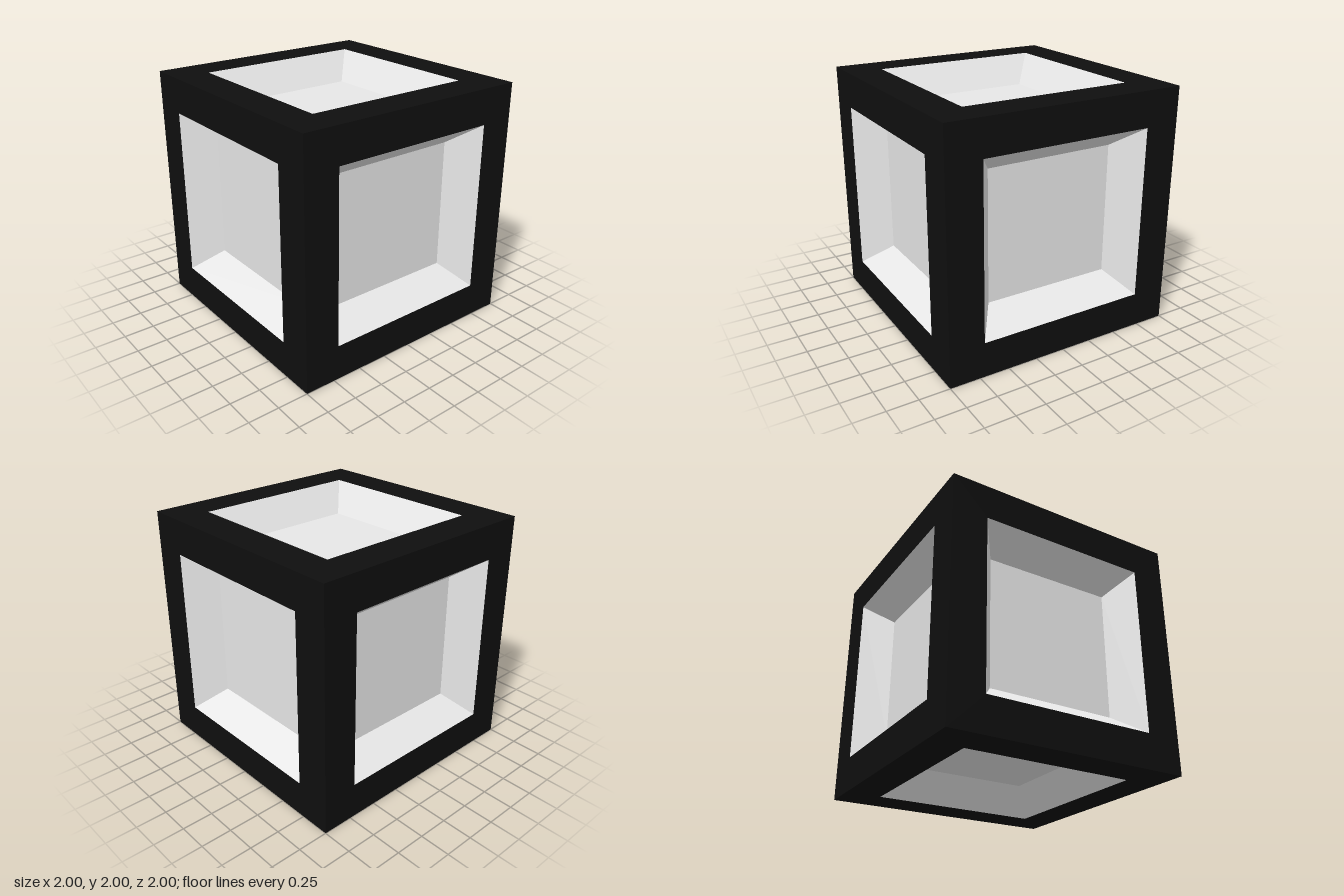
import * as THREE from 'three';

const HALF = 1, OPENING = 0.71, FLOOR = 0.54, DEPTH = 0.24;

function part(name, geometry, material) {
  const mesh = new THREE.Mesh(geometry, material);
  mesh.name = name;
  return mesh;
}

// Square outline centred on the origin
function square(path, h) {
  path.moveTo(-h, -h);
  path.lineTo(h, -h);
  path.lineTo(h, h);
  path.lineTo(-h, h);
  path.closePath();
  return path;
}

// Square border of one cube face, facing +z
function borderGeometry() {
  const shape = square(new THREE.Shape(), HALF);
  shape.holes.push(square(new THREE.Path(), OPENING));
  return new THREE.ShapeGeometry(shape).translate(0, 0, HALF);
}

// Four tapered walls of a recess, turned to face inward
function wallGeometry() {
  const tube = new THREE.CylinderGeometry(
    OPENING * Math.SQRT2, FLOOR * Math.SQRT2, DEPTH, 4, 1, true);
  const walls = tube.rotateY(Math.PI / 4).rotateX(Math.PI / 2).scale(-1, 1, 1).toNonIndexed();
  walls.translate(0, 0, HALF - DEPTH / 2);
  walls.computeVertexNormals();
  return walls;
}

export function createModel() {
  const black = new THREE.MeshStandardMaterial({ color: 0x0f0f0f });
  black.name = 'frame black';
  const white = new THREE.MeshStandardMaterial({ color: 0xe7e7e7 });
  white.name = 'recess white';

  const border = borderGeometry();
  const walls = wallGeometry();
  const floor = new THREE.PlaneGeometry(2 * FLOOR, 2 * FLOOR).translate(0, 0, HALF - DEPTH);

  const model = new THREE.Group();
  model.name = 'recessedCube';

  // The same side, turned to each of the six directions
  const q = Math.PI / 2;
  const sides = [
    ['front', 0, 0], ['left', 0, q], ['back', 0, 2 * q],
    ['right', 0, -q], ['top', -q, 0], ['bottom', q, 0],
  ];
  for (const [name, rx, ry] of sides) {
    const side = new THREE.Group();
    side.name = name + 'Side';
    side.add(
      part(name + 'Frame', border, black),
      part(name + 'RecessWalls', walls, white),
      part(name + 'RecessFloor', floor, white));
    side.rotation.set(rx, ry, 0);
    side.position.y = HALF;
    model.add(side);
  }
  return model;
}
